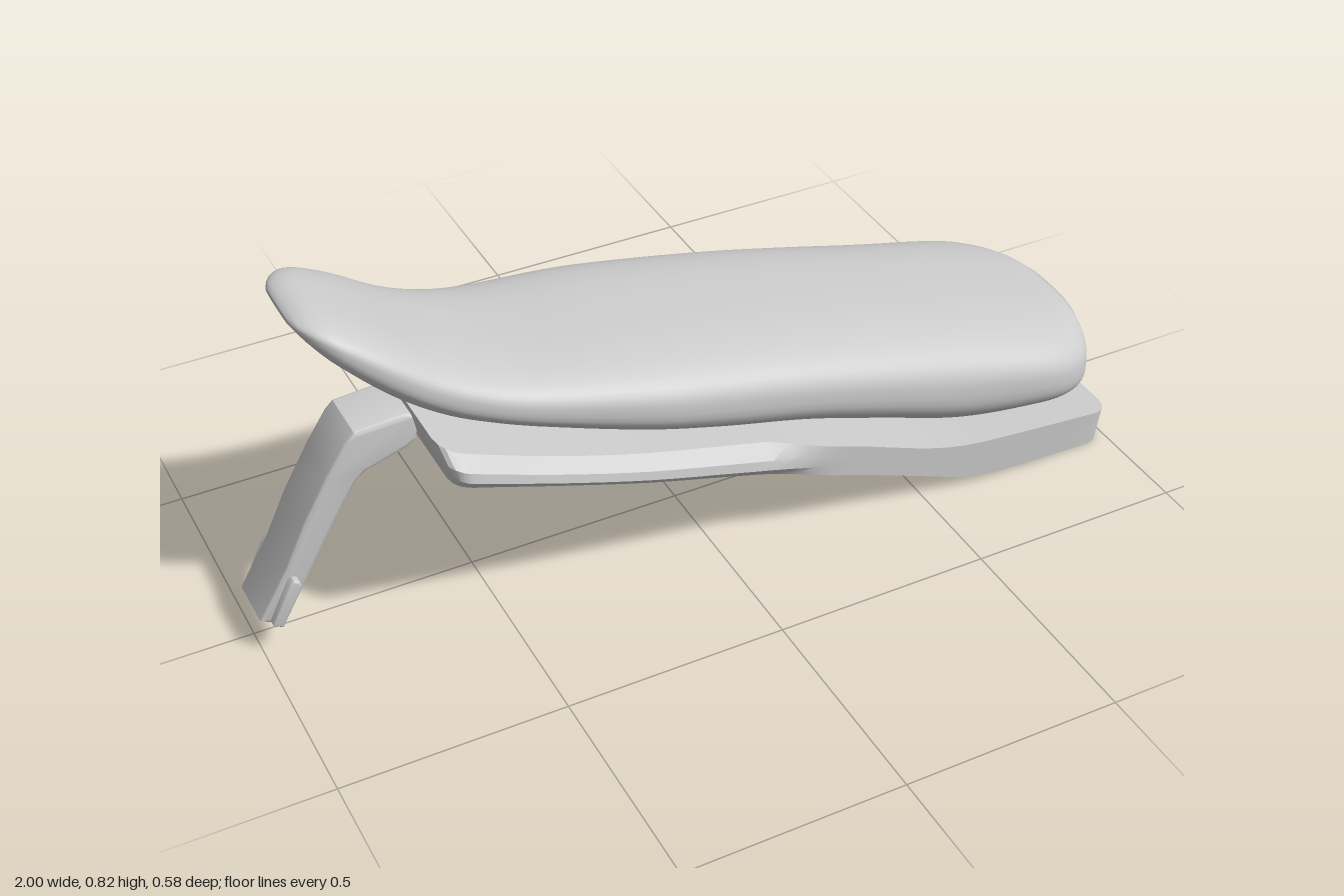
import * as THREE from 'three';
import { toCreasedNormals } from 'three/addons/utils/BufferGeometryUtils.js';

const grey = new THREE.MeshStandardMaterial({ color: 0xcccccc });
grey.name = 'light grey';

// Smooth lookup through [x, value] pairs
function smooth(table) {
  const slope = (i) => {
    const a = table[Math.max(i - 1, 0)], b = table[Math.min(i + 1, table.length - 1)];
    return (b[1] - a[1]) / (b[0] - a[0]);
  };
  return (x) => {
    let i = 0;
    while (i < table.length - 2 && x > table[i + 1][0]) i++;
    const [x0, y0] = table[i], [x1, y1] = table[i + 1];
    const d = x1 - x0, t = THREE.MathUtils.clamp((x - x0) / d, 0, 1), t2 = t * t, t3 = t2 * t;
    return y0 * (2 * t3 - 3 * t2 + 1) + y1 * (3 * t2 - 2 * t3)
      + d * (slope(i) * (t3 - 2 * t2 + t) + slope(i + 1) * (t3 - t2));
  };
}

// Skin closed rings (running from +z over +y) that follow one another along +x
function loft(rings) {
  const n = rings[0].length, pos = rings.flat(2), idx = [];
  for (let i = 0; i < rings.length - 1; i++) {
    for (let j = 0; j < n; j++) {
      const k = (j + 1) % n, a = i * n, b = a + n;
      idx.push(a + j, b + j, b + k, a + j, b + k, a + k);
    }
  }
  [0, rings.length - 1].forEach((r, end) => {
    const c = pos.length / 3, ring = rings[r];
    for (let k = 0; k < 3; k++) pos.push(ring.reduce((s, p) => s + p[k], 0) / n);
    for (let j = 0; j < n; j++) {
      const p = r * n + j, q = r * n + (j + 1) % n;
      idx.push(c, end ? q : p, end ? p : q);
    }
  });
  const g = new THREE.BufferGeometry();
  g.setAttribute('position', new THREE.Float32BufferAttribute(pos, 3));
  g.setIndex(idx);
  g.computeVertexNormals();
  return g;
}

// Padded cushion: superellipse sections with a raised narrow tail
function cushionGeometry() {
  const top = smooth([[-0.865, 0.808], [-0.84, 0.816], [-0.8, 0.81], [-0.72, 0.767], [-0.6, 0.685], [-0.5, 0.635],
    [-0.4, 0.607], [-0.2, 0.577], [0, 0.542], [0.2, 0.5], [0.4, 0.452], [0.6, 0.4], [0.8, 0.345], [0.96, 0.297], [0.985, 0.283]]);
  const bottom = smooth([[-0.865, 0.792], [-0.84, 0.755], [-0.8, 0.705], [-0.7, 0.605], [-0.6, 0.532], [-0.5, 0.487],
    [-0.4, 0.45], [-0.2, 0.382], [0, 0.322], [0.2, 0.27], [0.4, 0.2], [0.55, 0.145], [0.65, 0.122], [0.8, 0.107], [0.96, 0.095], [0.985, 0.1]]);
  const width = smooth([[-0.865, 0.07], [-0.85, 0.105], [-0.82, 0.14], [-0.78, 0.163], [-0.7, 0.187], [-0.6, 0.202], [-0.4, 0.235],
    [-0.2, 0.266], [-0.1, 0.274], [0.2, 0.28], [0.6, 0.286], [0.8, 0.288], [0.87, 0.277], [0.93, 0.245], [0.965, 0.2], [0.985, 0.15]]);
  const power = (v, e) => Math.sign(v) * Math.abs(v) ** e;
  const rings = [], steps = 90, sides = 56;
  for (let i = 0; i <= steps; i++) {
    // rings gather towards both ends
    const u = i / steps, s = 0.5 - 0.5 * Math.cos(Math.PI * u);
    const x = THREE.MathUtils.lerp(-0.865, 0.985, 0.5 * u + 0.5 * s);
    const mid = (top(x) + bottom(x)) / 2, h = (top(x) - bottom(x)) / 2, w = width(x);
    rings.push(Array.from({ length: sides }, (_, j) => {
      const a = j / sides * Math.PI * 2, up = Math.sin(a) > 0;
      const e = up ? 0.72 : 0.85;
      return [x, mid + h * power(Math.sin(a), e), w * power(Math.cos(a), e)];
    }));
  }
  return loft(rings);
}

// Tray under the cushion: square at the front, sloping shoulders further back
function baseGeometry() {
  const top = smooth([[-0.64, 0.53], [-0.6, 0.508], [-0.4, 0.428], [-0.2, 0.362], [0, 0.31], [0.15, 0.272], [0.3, 0.225],
    [0.5, 0.147], [0.6, 0.12], [0.7, 0.108], [0.995, 0.083]]);
  const bottom = smooth([[-0.64, 0.434], [-0.6, 0.425], [-0.4, 0.357], [-0.2, 0.292], [0, 0.236], [0.2, 0.178], [0.35, 0.126],
    [0.5, 0.068], [0.6, 0.03], [0.66, 0.015], [0.75, 0.007], [0.995, 0]]);
  const xs = [-0.64, -0.635, -0.625, -0.61, -0.595];
  for (let x = -0.55; x < 0.94; x += 0.05) xs.push(x);
  xs.push(0.955, 0.97, 0.983, 0.991, 0.997);
  return toCreasedNormals(loft(xs.map((x) => {
    const edge = Math.max(0, 1 - Math.min(x + 0.64, 0.997 - x) / 0.042);
    const w = 0.27 - 0.042 * (1 - Math.sqrt(1 - edge * edge));
    const shoulder = 1 - THREE.MathUtils.smoothstep(x, 0.08, 0.26);
    const t = top(x), b = bottom(x), skew = THREE.MathUtils.lerp(0.02, -0.013, (x + 0.64) / 1.637);
    const half = [[w - 0.018 * shoulder, 0], [w, 0.3], [w - 0.004 * shoulder, 0.6], [w - 0.035 * shoulder, 1]];
    const outline = [...half, ...half.map(([z, v]) => [-z, v]).reverse()];
    return outline.map(([z, v]) => [x + skew * (1 - v), b + (t - b) * v, z]);
  })), 0.45);
}

// Side outline extruded evenly about z = 0, with a small rounded edge
function plate(points, depth, bevel) {
  const g = new THREE.ExtrudeGeometry(new THREE.Shape(points.map((p) => new THREE.Vector2(...p))), {
    depth: depth - 2 * bevel, bevelThickness: bevel, bevelSize: bevel, bevelOffset: -bevel, bevelSegments: 3,
  });
  g.translate(0, 0, bevel - depth / 2);
  return toCreasedNormals(g, 0.6);
}

export function createModel() {
  const model = new THREE.Group();
  model.name = 'seat';
  const add = (name, geometry, x = 0, y = 0, z = 0) => {
    const mesh = new THREE.Mesh(geometry, grey);
    mesh.name = name;
    mesh.position.set(x, y, z);
    model.add(mesh);
    return mesh;
  };

  add('cushion', cushionGeometry());
  add('baseTray', baseGeometry());

  // Cross rib below the tray
  add('undersideRib', new THREE.BoxGeometry(0.035, 0.014, 0.25), -0.4, 0.358, -0.125).rotation.z = -0.33;

  // Bent arm reaching down behind the tray
  add('rearArm', plate([[-0.645, 0.42], [-0.625, 0.437], [-0.62, 0.47], [-0.623, 0.498], [-0.65, 0.504], [-0.757, 0.495],
    [-0.775, 0.478], [-0.82, 0.41], [-0.88, 0.305], [-0.93, 0.2], [-0.998, 0.083], [-0.945, 0.058],
    [-0.88, 0.175], [-0.8, 0.315], [-0.763, 0.373], [-0.74, 0.392]], 0.135, 0.01));

  // Small tabs on both sides of the arm's lower end
  for (const side of [-1, 1]) {
    add(side > 0 ? 'leftArmTab' : 'rightArmTab', plate([[-0.978, 0.082], [-0.957, 0.07], [-0.908, 0.165],
      [-0.911, 0.177], [-0.923, 0.183], [-0.932, 0.177]], 0.03, 0.004), 0, 0, side * 0.073);
  }
  return model;
}
